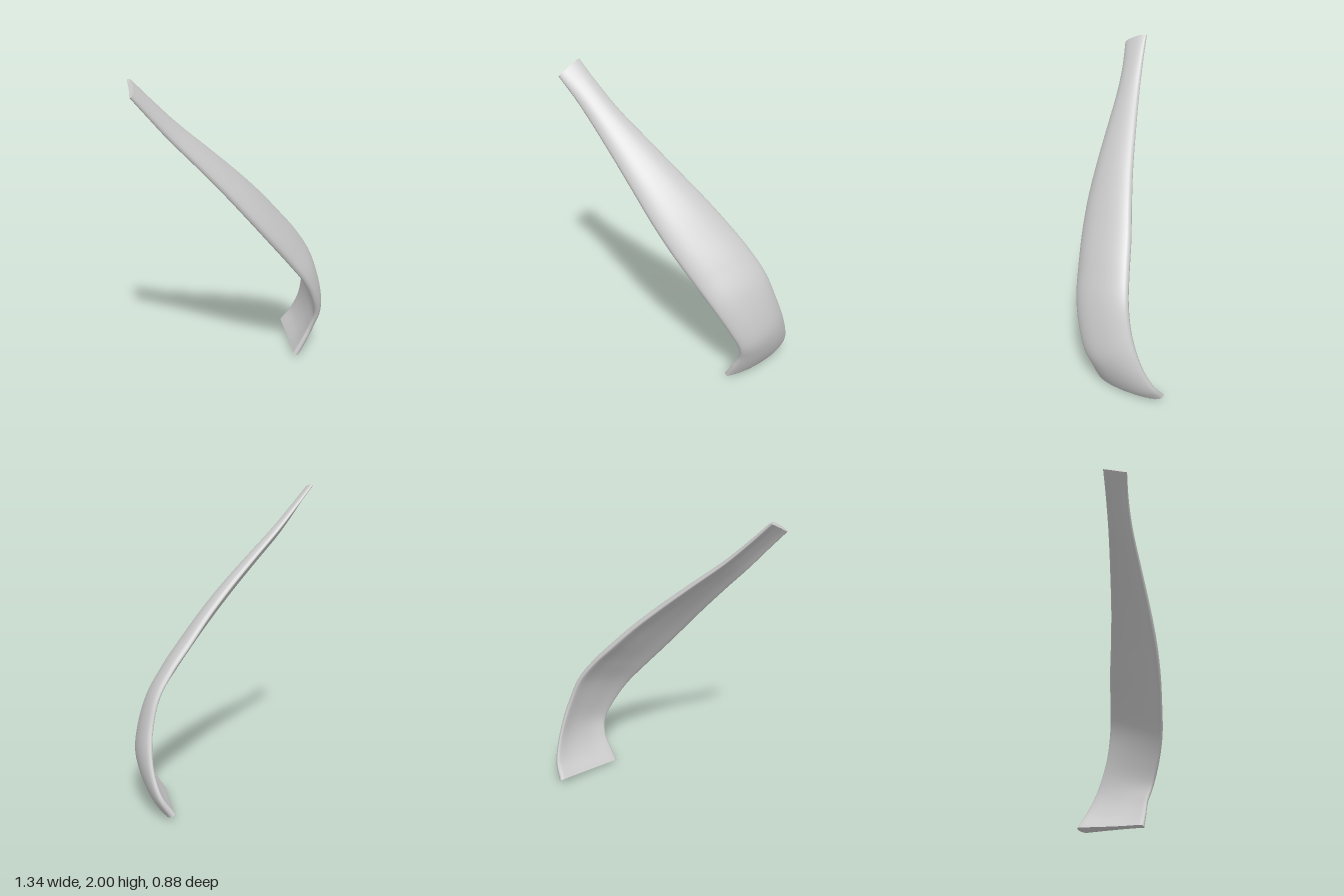
import * as THREE from 'three';

const curve = (pts) => new THREE.CatmullRomCurve3(pts.map((p) => new THREE.Vector3(...p)));

// Front and back edges of the strap, paired from the upper end to the curled lower end
const frontEdge = curve([
  [-0.66, 1.92, 0.44], [-0.56, 1.8, 0.405], [-0.445, 1.665, 0.38], [-0.275, 1.485, 0.364], [-0.1, 1.295, 0.35],
  [0.052, 1.12, 0.333], [0.192, 0.955, 0.303], [0.338, 0.78, 0.255], [0.47, 0.61, 0.203], [0.553, 0.45, 0.142],
  [0.59, 0.31, 0.085], [0.56, 0.2, 0.056], [0.51, 0.1, 0.06], [0.46, 0.01, 0.065],
]);
const backEdge = curve([
  [-0.655, 2.0, 0.28], [-0.545, 1.88, 0.25], [-0.39, 1.72, 0.2], [-0.18, 1.53, 0.12], [0.005, 1.36, 0.045],
  [0.167, 1.2, -0.03], [0.31, 1.04, -0.1], [0.44, 0.89, -0.155], [0.538, 0.74, -0.2], [0.59, 0.57, -0.245],
  [0.61, 0.42, -0.297], [0.605, 0.28, -0.35], [0.57, 0.15, -0.405], [0.505, 0.05, -0.435],
]);

// Outward arch and half thickness along the strap
const profile = curve([
  [0.012, 0.016, 0], [0.024, 0.024, 0], [0.034, 0.034, 0], [0.039, 0.038, 0],
  [0.037, 0.035, 0], [0.036, 0.032, 0], [0.025, 0.038, 0],
]);

const STEPS = 120;
const SIDES = 40;

function section(t) {
  const a = frontEdge.getPoint(t);
  const b = backEdge.getPoint(t);
  const mid = a.clone().add(b).multiplyScalar(0.5);
  const half = a.clone().sub(b).multiplyScalar(0.5);
  const along = frontEdge.getTangent(t).add(backEdge.getTangent(t));
  const out = half.clone().cross(along).normalize();
  const { x: arch, y: thick } = profile.getPoint(t);
  return Array.from({ length: SIDES }, (_, j) => {
    const angle = (j / SIDES) * Math.PI * 2;
    const w = Math.cos(angle);
    const s = Math.sin(angle);
    const lift = arch * (1 - Math.abs(w) ** 2.6) + thick * Math.sign(s) * Math.abs(s) ** 0.6;
    const p = mid.clone().addScaledVector(half, w).addScaledVector(out, lift);
    // The lower end is cut by a gently rising plane
    const floor = Math.max(0, 0.35 * (p.x - 0.46));
    p.y = THREE.MathUtils.clamp(p.y, floor, 2);
    return p;
  });
}

function build(points, index) {
  const g = new THREE.BufferGeometry().setFromPoints(points);
  g.setIndex(index);
  g.computeVertexNormals();
  return g;
}

function endCap(ring, flip) {
  const centre = ring.reduce((sum, p) => sum.add(p), new THREE.Vector3()).divideScalar(SIDES);
  const index = [];
  for (let j = 0; j < SIDES; j++) {
    const k = (j + 1) % SIDES;
    index.push(SIDES, flip ? k : j, flip ? j : k);
  }
  return build([...ring, centre], index);
}

export function createModel() {
  const group = new THREE.Group();
  group.name = 'muscleStrap';
  const material = new THREE.MeshStandardMaterial({ color: 0xcccccc });
  const add = (name, geometry) => {
    const mesh = new THREE.Mesh(geometry, material);
    mesh.name = name;
    group.add(mesh);
  };

  // Smooth body lofted through the sections
  const rings = Array.from({ length: STEPS + 1 }, (_, i) => section(i / STEPS));
  const index = [];
  for (let i = 0; i < STEPS; i++) {
    for (let j = 0; j < SIDES; j++) {
      const k = (j + 1) % SIDES;
      const a = i * SIDES + j, b = i * SIDES + k;
      index.push(a, a + SIDES, b, b, a + SIDES, b + SIDES);
    }
  }
  add('strapBody', build(rings.flat(), index));

  // Flat cut ends
  add('upperEnd', endCap(rings[0], false));
  add('lowerEnd', endCap(rings[STEPS], true));
  return group;
}
